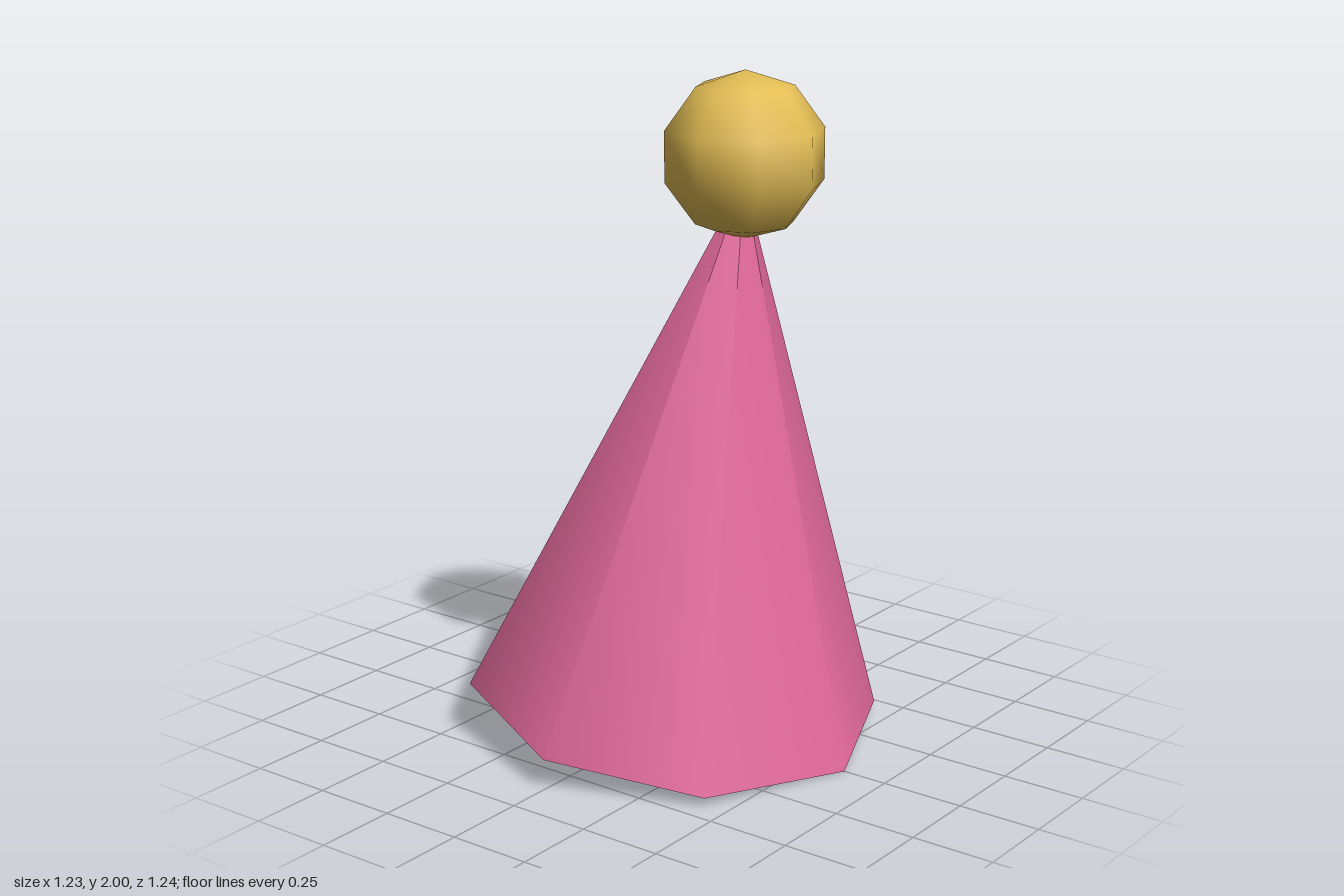
import * as THREE from 'three';

export function createModel() {
  const pink = new THREE.MeshStandardMaterial({ color: 0xe56b9b });
  pink.name = 'pink';
  const gold = new THREE.MeshStandardMaterial({ color: 0xe3bd54 });
  gold.name = 'gold';

  const radius = 0.62, height = 1.62, tilt = 0.15;
  const group = new THREE.Group();
  group.name = 'partyHat';

  // Eight-sided closed cone, tilted about the centre of its base
  const coneGeometry = new THREE.ConeGeometry(radius, height, 8);
  coneGeometry.translate(0, height / 2, 0);
  const cone = new THREE.Mesh(coneGeometry, pink);
  cone.name = 'hatCone';
  cone.rotation.z = -tilt;
  cone.position.y = radius * Math.sin(tilt);
  group.add(cone);

  // Upright pompom over the tip
  const pompom = new THREE.Mesh(new THREE.SphereGeometry(0.238, 8, 5), gold);
  pompom.name = 'pompom';
  pompom.position.set(0.244, 1.762, 0);
  group.add(pompom);

  return group;
}
